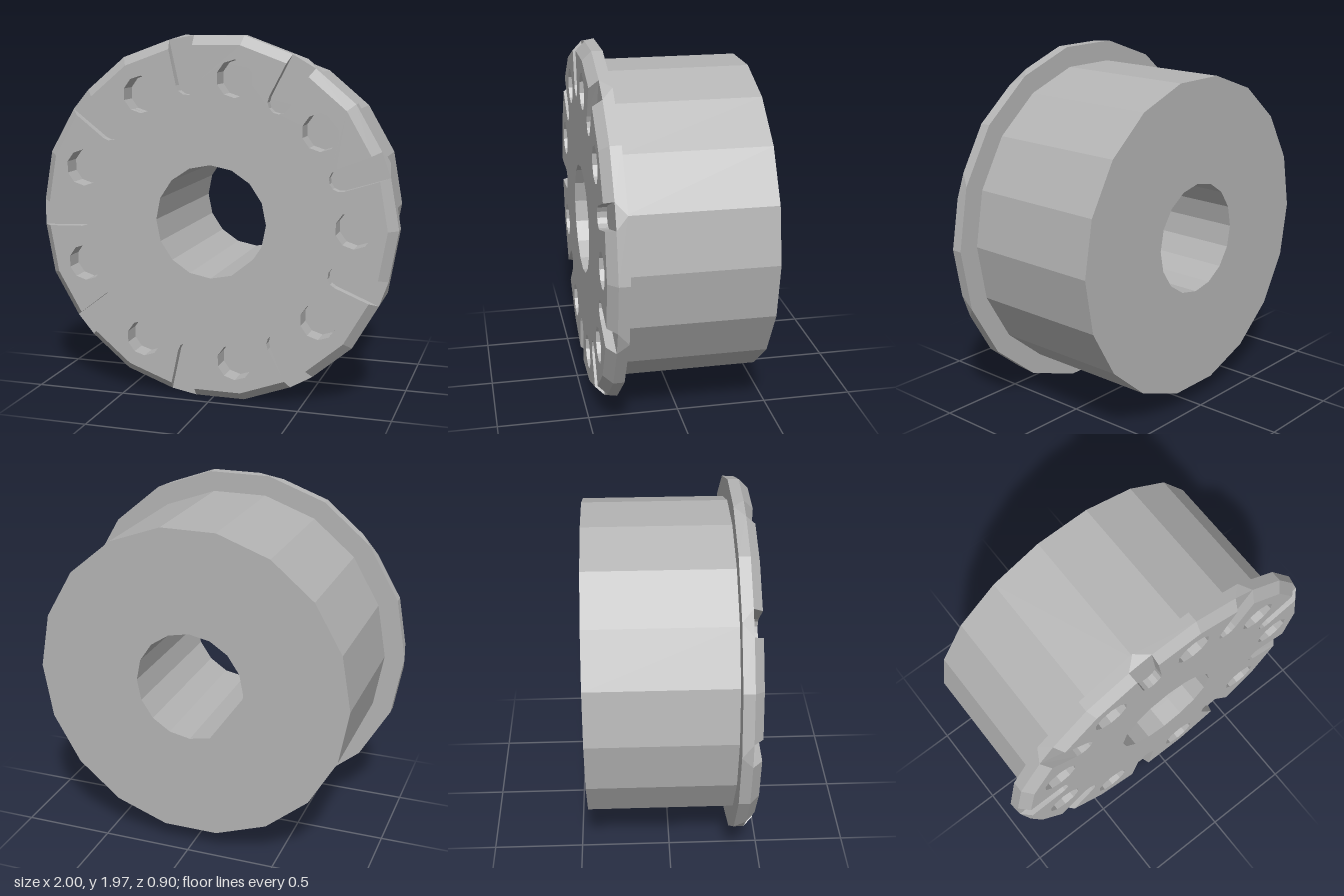
import * as THREE from 'three';

const CY = 0.985;            // axis height
const STEP = Math.PI / 9;    // 18-sided body and rim
const Z_BACK = -0.45, Z_RIM = 0.34, Z_FLOOR = 0.40, Z_FRONT = 0.45;

const polar = (r, a) => new THREE.Vector2(r * Math.cos(a), r * Math.sin(a));
const polygon = (r, n, cx = 0, cy = 0, start = 0) =>
  Array.from({ length: n }, (_, i) => polar(r, start + i * 2 * Math.PI / n).add(new THREE.Vector2(cx, cy)));

const bore = () => new THREE.Path(polygon(0.307, 16));

// Nine blind holes, spaced between the slots
const pockets = () => Array.from({ length: 9 }, (_, i) => {
  const c = polar(0.775, i * 2 * STEP);
  return new THREE.Path(polygon(0.1, 10, c.x, c.y, Math.PI / 10));
});

// Rim outline: plain corners alternate with slot corners
function rimOutline(r, slotted) {
  const pts = [];
  const w = 0.067 * r / 0.95;
  const mouth = r - w * Math.tan(STEP / 2);
  for (let i = 0; i < 9; i++) {
    pts.push(polar(r, i * 2 * STEP));
    const a = (i * 2 + 1) * STEP;
    const put = (x, y) => pts.push(new THREE.Vector2(x, y).rotateAround(new THREE.Vector2(), a));
    put(mouth, -w);
    if (slotted) {
      for (let k = 0; k <= 6; k++) {
        const t = -Math.PI / 2 - k * Math.PI / 6;
        put(0.745 + 0.06 * Math.cos(t), 0.06 * Math.sin(t));
      }
    }
    put(mouth, w);
  }
  return pts;
}

// Extrude between two depths, then let a rule reshape the rim at the rear
function slab(points, holes, z0, z1, rule) {
  const shape = new THREE.Shape(points);
  shape.holes.push(...holes);
  const g = new THREE.ExtrudeGeometry(shape, { depth: z1 - z0, bevelEnabled: false, steps: 1 });
  g.translate(0, 0, z0);
  if (rule) {
    const p = g.attributes.position;
    for (let i = 0; i < p.count; i++) {
      const x = p.getX(i), y = p.getY(i);
      if (Math.hypot(x, y) > 0.9 && p.getZ(i) < (z0 + z1) / 2) {
        const q = rule(x, y);
        p.setXY(i, q.x, q.y);
      }
    }
  }
  g.computeVertexNormals();
  return g;
}

export function createModel() {
  const group = new THREE.Group();
  group.name = 'slottedHub';
  const grey = new THREE.MeshStandardMaterial({ color: 0xb4b4b4, flatShading: true });
  grey.name = 'grey';

  const add = (name, geometry) => {
    const mesh = new THREE.Mesh(geometry, grey);
    mesh.name = name;
    mesh.position.y = CY;
    group.add(mesh);
  };

  // Main drum with a bore right through
  add('drum', slab(polygon(0.886, 18), [bore()], Z_BACK, Z_RIM));

  // Flange: slot corners are trimmed at the front and sharp at the back
  add('flange', slab(rimOutline(1, false), [bore(), ...pockets()], Z_RIM, Z_FLOOR,
    (x, y) => polar(1, Math.round(Math.atan2(y, x) / STEP) * STEP)));

  // Front face: cut by slots and chamfered outwards to meet the flange
  add('slottedFace', slab(rimOutline(0.95, true), [bore(), ...pockets()], Z_FLOOR, Z_FRONT,
    (x, y) => new THREE.Vector2(x, y).divideScalar(0.95)));

  return group;
}
